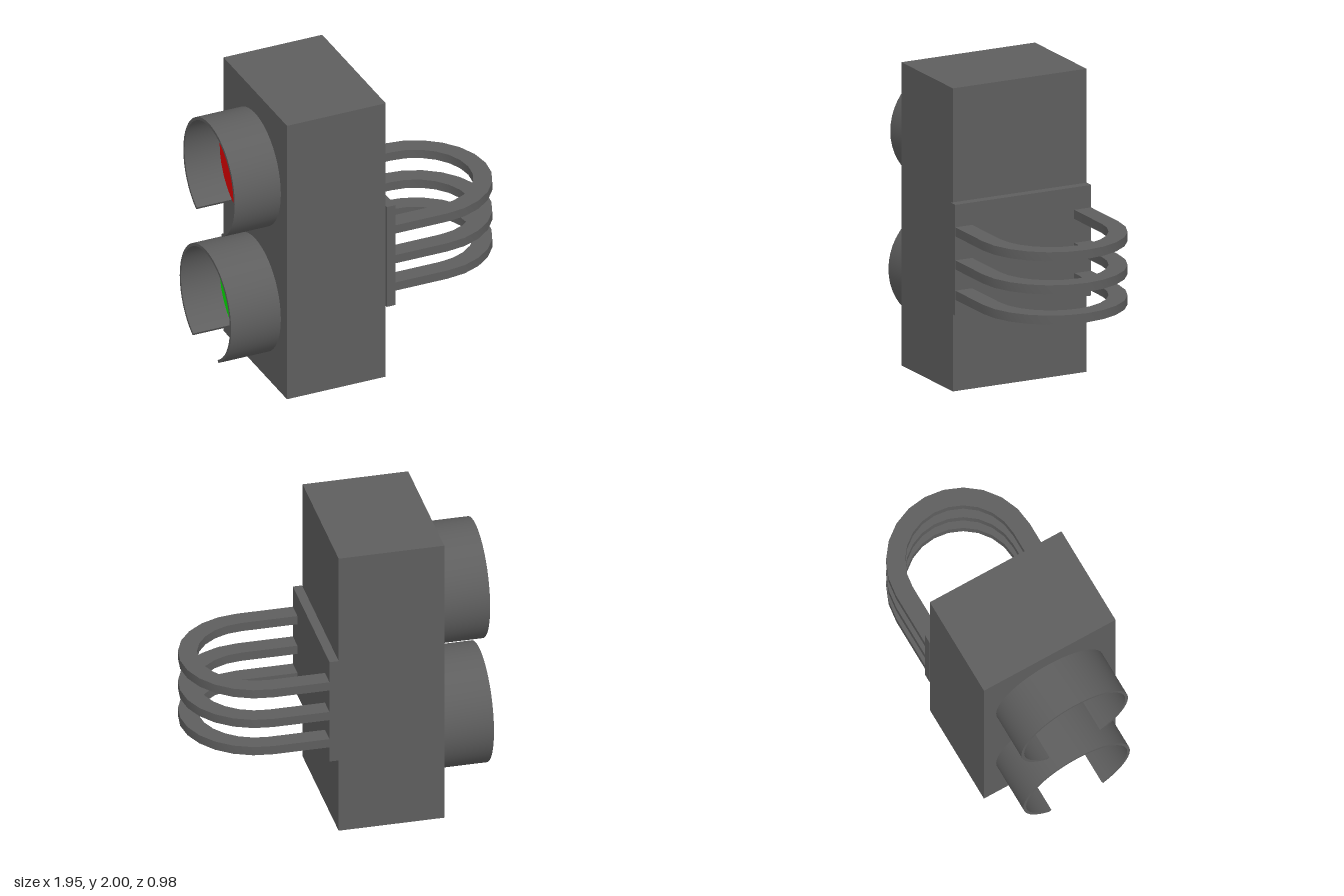
import * as THREE from 'three';
import { toCreasedNormals } from 'three/addons/utils/BufferGeometryUtils.js';

export function createModel() {
  const model = new THREE.Group();
  model.name = 'signalLight';

  const material = (name, color) => {
    const m = new THREE.MeshStandardMaterial({ color });
    m.name = name;
    return m;
  };
  const grey = material('darkGrey', 0x5e5e5e);
  const red = material('red', 0xe00000);
  const green = material('green', 0x00e700);

  const add = (name, geometry, mat, x, y, z) => {
    const mesh = new THREE.Mesh(geometry, mat);
    mesh.name = name;
    mesh.position.set(x, y, z);
    model.add(mesh);
  };

  const extrude = (shape, depth, curveSegments) =>
    new THREE.ExtrudeGeometry(shape, { depth, curveSegments, bevelEnabled: false });

  // Housing and the mounting plate on its side
  add('housing', new THREE.BoxGeometry(0.69, 2, 0.963), grey, -0.285, 1, -0.007);
  add('mountingPlate', new THREE.BoxGeometry(0.06, 0.73, 0.98), grey, 0.09, 0.883, 0);

  // Visor: a thin tube pointing to -x, open by 60 degrees at the bottom
  const visor = (length) => {
    const start = -Math.PI / 3, end = Math.PI * 4 / 3;
    const shape = new THREE.Shape();
    shape.absarc(0, 0, 0.39, start, end, false);
    shape.absarc(0, 0, 0.37, end, start, true);
    shape.closePath();
    const geometry = extrude(shape, length, 20);
    geometry.rotateY(-Math.PI / 2);
    return toCreasedNormals(geometry, 0.6);
  };

  // Lenses with their visors
  const lens = new THREE.CylinderGeometry(0.365, 0.365, 0.08, 32);
  lens.rotateZ(Math.PI / 2);
  const lights = [
    ['upper', 1.452, 0.322, red],
    ['lower', 0.536, 0.347, green],
  ];
  for (const [name, y, length, mat] of lights) {
    add(name + 'Visor', visor(length), grey, -0.63, y, -0.009);
    add(name + 'Lens', lens, mat, -0.67, y, -0.009);
  }

  // Horseshoe straps that go around the pole
  const outer = 0.489, inner = 0.368, back = 0.119, bend = 0.487;
  const strap = new THREE.Shape();
  strap.moveTo(back, -outer);
  strap.lineTo(bend, -outer);
  strap.absarc(bend, 0, outer, -Math.PI / 2, Math.PI / 2, false);
  strap.lineTo(back, outer);
  strap.lineTo(back, inner);
  strap.lineTo(bend, inner);
  strap.absarc(bend, 0, inner, Math.PI / 2, -Math.PI / 2, true);
  strap.lineTo(back, -inner);
  strap.closePath();
  const strapGeometry = extrude(strap, 0.06, 6);
  strapGeometry.rotateX(-Math.PI / 2);
  const creased = toCreasedNormals(strapGeometry, 0.6);
  for (const y of [0.622, 0.822, 1.04]) add('poleStrap', creased, grey, 0, y, 0);

  return model;
}
